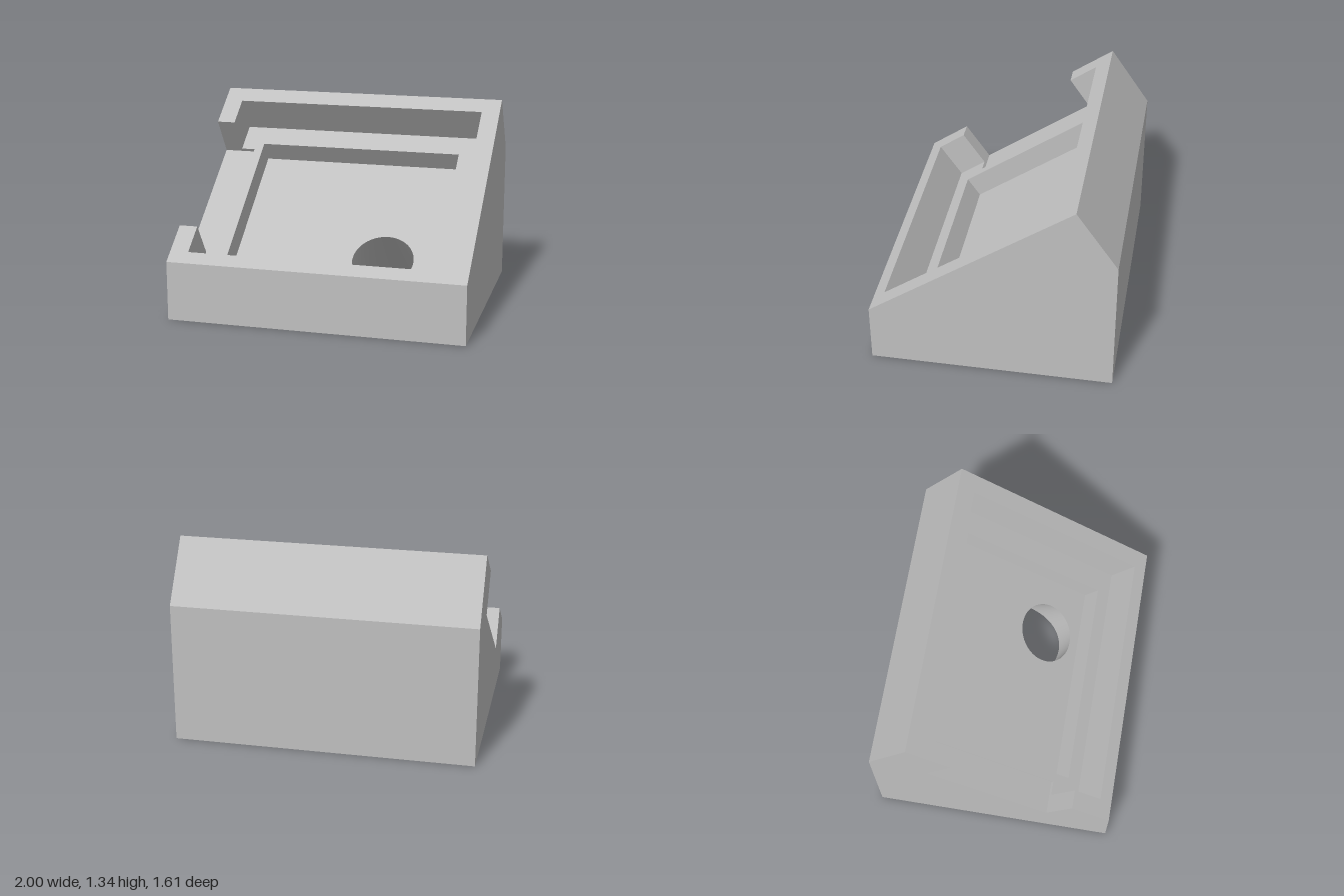
import * as THREE from 'three';

// Overall profile (z, y) of the wedge block
const Z = 0.805, FRONT_Y = 0.4, RIDGE = [-0.535, 1.335], BACK_Y = 0.945;
const LEN = Math.hypot(Z - RIDGE[0], RIDGE[1] - FRONT_Y);
const C = (Z - RIDGE[0]) / LEN, S = (RIDGE[1] - FRONT_Y) / LEN;

// Recess sizes: x, distance up the slope, depth below the slope
const PX = 0.875, P0 = 0.095, P1 = 1.508, PD = 0.273;   // wide pocket
const IX0 = -0.72, IX1 = 0.717, I0 = 0.194, I1 = 1.346, ID = 0.431; // inner pocket
const NX = -0.78, N0 = 0.315, N1 = 1.288, ND = 0.298;   // side slot
const HX = 0.315, HS = 0.474, HR = 0.212, FLARE = 0.25; // flared cable hole
const BX = -0.568, BZ = -0.356, BR = 0.107, BH = 0.25;  // blind hole in the base
const SEG = 64;

const v3 = (x, y, z) => new THREE.Vector3(x, y, z);
// Point on the slope frame: x, s up the slope, d below the surface
const at = (x, s, d) => v3(x, FRONT_Y + S * s - C * d, Z - C * s - S * d);
const basis = (x, y, z, o) => new THREE.Matrix4().makeBasis(x, y, z).setPosition(o);
const slope = (d) => basis(v3(1, 0, 0), v3(0, S, -C), v3(0, C, S), at(0, 0, d));
const downward = (y) => basis(v3(1, 0, 0), v3(0, 0, 1), v3(0, -1, 0), v3(0, y, 0));

// Flat face from an outline with holes, placed by a matrix
function face(outline, holes, matrix) {
  const toV2 = (pts) => pts.map(([a, b]) => new THREE.Vector2(a, b));
  const shape = new THREE.Shape(toV2(outline));
  holes.forEach((h) => shape.holes.push(new THREE.Path(toV2(h))));
  return new THREE.ShapeGeometry(shape).applyMatrix4(matrix);
}

// Ruled wall between two rows of points
function strip(a, b, { closed = false, smooth = false } = {}) {
  const n = a.length, index = [];
  for (let i = 0; i < (closed ? n : n - 1); i++) {
    const j = (i + 1) % n;
    index.push(i, n + i, n + j, i, n + j, j);
  }
  let geo = new THREE.BufferGeometry().setFromPoints([...a, ...b]);
  geo.setIndex(index);
  if (!smooth) geo = geo.toNonIndexed();
  geo.computeVertexNormals();
  return geo;
}

// Wall running straight down from the slope between two depths
const wall = (path, d0, d1, opts) =>
  strip(path.map(([x, s]) => at(x, s, d0)), path.map(([x, s]) => at(x, s, d1)), opts);

const rect = (x0, x1, s0, s1) => [[x0, s0], [x0, s1], [x1, s1], [x1, s0]];
const circle = (x, y, r) => Array.from({ length: SEG }, (_, i) => {
  const t = -i / SEG * Math.PI * 2;
  return [x + r * Math.cos(t), y + r * Math.sin(t)];
});

export function createModel() {
  const group = new THREE.Group();
  group.name = 'slopedStand';
  const grey = new THREE.MeshStandardMaterial({ color: 0xc0c0c0, side: THREE.DoubleSide });
  grey.name = 'light grey';
  const add = (name, geo) => {
    const mesh = new THREE.Mesh(geo, grey);
    mesh.name = name;
    group.add(mesh);
  };

  // Sloped rim, open at the side slot
  const pocketPath = [[-PX, N1], [-PX, P1], [PX, P1], [PX, P0], [-PX, P0], [-PX, N0]];
  add('slopedRim', face(
    [[-1, N0], [-1, 0], [1, 0], [1, LEN], [-1, LEN], [-1, N1], ...pocketPath], [], slope(0)));

  // Wide pocket with its ledge
  add('pocketWalls', wall(pocketPath, 0, PD));
  const inner = rect(IX0, IX1, I0, I1);
  add('pocketLedge', face([...pocketPath, [NX, N0], [NX, N1]], [inner], slope(PD)));

  // Side slot, slightly deeper than the ledge
  add('slotFloor', face(rect(-1, NX, N0, N1), [], slope(ND)));
  add('slotUpperWall', wall([[-1, N1], [-PX, N1]], 0, ND));
  add('slotLowerWall', wall([[-PX, N0], [-1, N0]], 0, ND));
  add('slotStep', wall([[-PX, N1], [NX, N1], [NX, N0], [-PX, N0]], PD, ND));

  // Inner pocket
  const holeTop = circle(HX, HS, HR);
  add('innerPocketWalls', wall(inner, PD, ID, { closed: true }));
  add('innerPocketFloor', face(inner, [holeTop], slope(ID)));

  // Flared hole, square to the slope, cut off by the base
  const top = holeTop.map(([x, s]) => at(x, s, ID));
  const bottom = holeTop.map(([x, s], i) => {
    const ux = (x - HX) / HR, us = (s - HS) / HR;
    const t = top[i].y / (C - S * us * FLARE);
    const p = at(x + ux * FLARE * t, s + us * FLARE * t, ID + t);
    p.y = 0;
    return p;
  });
  add('cableHole', strip(top, bottom, { closed: true, smooth: true }));

  // Base and its blind hole
  const blind = circle(BX, BZ, BR);
  const ring = (y) => blind.map(([x, z]) => v3(x, y, z));
  add('base', face([[-1, -Z], [1, -Z], [1, Z], [-1, Z]],
    [bottom.map((p) => [p.x, p.z]), blind], downward(0)));
  add('blindHoleWall', strip(ring(0), ring(BH), { closed: true, smooth: true }));
  add('blindHoleEnd', face(blind, [], downward(BH)));

  // Outer walls
  const across = (profile) => strip(
    profile.map(([z, y]) => v3(-1, y, z)), profile.map(([z, y]) => v3(1, y, z)));
  add('frontWall', across([[Z, 0], [Z, FRONT_Y]]));
  add('backWall', across([RIDGE, [-Z, BACK_Y], [-Z, 0]]));

  const side = [[Z, FRONT_Y], [Z, 0], [-Z, 0], [-Z, BACK_Y], RIDGE];
  add('leftWall', face(side.map(([z, y]) => [-z, y]), [],
    basis(v3(0, 0, -1), v3(0, 1, 0), v3(1, 0, 0), v3(1, 0, 0))));
  const notch = [[N1, 0], [N1, ND], [N0, ND], [N0, 0]].map(([s, d]) => {
    const p = at(0, s, d);
    return [p.z, p.y];
  });
  add('rightWall', face([...side, ...notch], [],
    basis(v3(0, 0, 1), v3(0, 1, 0), v3(-1, 0, 0), v3(-1, 0, 0))));

  return group;
}
